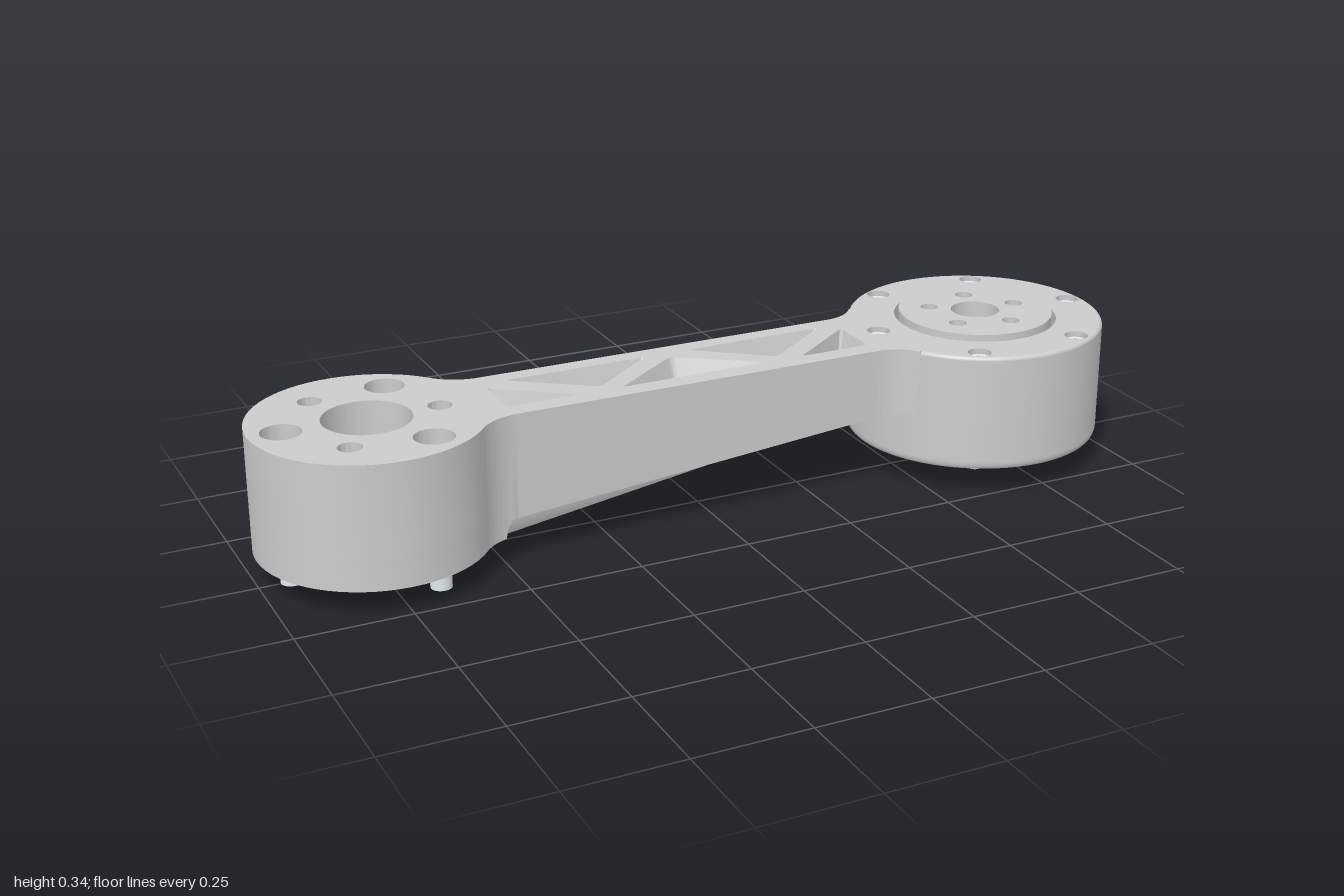
import * as THREE from 'three';
import { toCreasedNormals } from 'three/addons/utils/BufferGeometryUtils.js';

const body = new THREE.MeshStandardMaterial({ color: 0xcccccc });
const thin = new THREE.MeshStandardMaterial({ color: 0xcccccc, side: THREE.DoubleSide });
const steel = new THREE.MeshStandardMaterial({ color: 0xe2eaee });

const TOP = 0.333;
const LEFT = { x: -0.75, r: 0.25 };
const RIGHT = { x: 0.71, r: 0.29 };
const HALF = 0.115; // half width of the arm

function addMesh(parent, name, geometry, material = body) {
  const mesh = new THREE.Mesh(geometry, material);
  mesh.name = name;
  parent.add(mesh);
  return mesh;
}

// Upright extrusion of a plan shape (shape y = -z) between two heights
function slab(shape, y0, y1) {
  const geometry = new THREE.ExtrudeGeometry(shape, { depth: y1 - y0, bevelEnabled: false, curveSegments: 32 });
  return geometry.rotateX(-Math.PI / 2).translate(0, y0, 0);
}

const smooth = (geometry) => toCreasedNormals(geometry, 0.5);

// Disc with round holes, each given as [x, y, radius] from its centre
function disc(cx, r, holes, y0, y1) {
  const shape = new THREE.Shape().absarc(cx, 0, r, 0, Math.PI * 2);
  for (const [x, y, hr] of holes) {
    shape.holes.push(new THREE.Path().absarc(cx + x, y, hr, 0, Math.PI * 2, true));
  }
  return smooth(slab(shape, y0, y1));
}

// Circular pattern of n places
function ring(n, radius, start = 0) {
  return Array.from({ length: n }, (_, i) => {
    const a = start + (i * Math.PI * 2) / n;
    return [radius * Math.cos(a), radius * Math.sin(a)];
  });
}

// Height of the underside of the arm, with a fillet next to the left hub
function underside(x) {
  if (x > -0.47) return 0.1 + (x + 0.47) * 0.087;
  const t = Math.max(0, (x + 0.5) / 0.03);
  return 0.06 + 0.04 * Math.sqrt(1 - (1 - t) ** 2);
}

// Triangle with rounded corners
function roundedTriangle(corners, r = 0.014) {
  const p = corners.map(([x, z]) => new THREE.Vector2(x, -z));
  return p.flatMap((c, i) => {
    const toward = (q) => c.clone().add(q.clone().sub(c).setLength(r));
    return new THREE.QuadraticBezierCurve(toward(p[(i + 2) % 3]), c, toward(p[(i + 1) % 3])).getPoints(4);
  });
}

// Tapered pocket: rim loop, smaller floor loop, centre point
function pocket(loop, rimY, floorY) {
  const n = loop.length;
  const mid = loop.reduce((s, p) => s.add(p), new THREE.Vector2()).divideScalar(n);
  const pos = [], index = [];
  for (const p of loop) pos.push(p.x, rimY(p.x), -p.y);
  for (const p of loop) {
    const q = mid.clone().lerp(p, 0.55);
    pos.push(q.x, floorY, -q.y);
  }
  pos.push(mid.x, floorY, -mid.y);
  for (let i = 0; i < n; i++) {
    const j = (i + 1) % n;
    index.push(i, j, n + j, i, n + j, n + i, n + i, n + j, 2 * n);
  }
  const geometry = new THREE.BufferGeometry();
  geometry.setAttribute('position', new THREE.Float32BufferAttribute(pos, 3));
  geometry.setIndex(index);
  return smooth(geometry);
}

function buildArm() {
  const arm = new THREE.Group();
  arm.name = 'arm';

  // Outline flaring into both hubs
  const PI = Math.PI, fl = 0.12, fr = 0.1;
  const zl = HALF + fl, zr = HALF + fr;
  const dl = Math.sqrt((LEFT.r + fl) ** 2 - zl ** 2), dr = Math.sqrt((RIGHT.r + fr) ** 2 - zr ** 2);
  const a = Math.atan2(zl, dl), b = Math.atan2(zr, dr);
  const shape = new THREE.Shape();
  shape.absarc(LEFT.x, 0, LEFT.r - 0.004, -a, a);
  shape.absarc(LEFT.x + dl, zl, fl, PI + a, 1.5 * PI);
  shape.absarc(RIGHT.x - dr, zr, fr, 1.5 * PI, 2 * PI - b);
  shape.absarc(RIGHT.x, 0, RIGHT.r - 0.008, PI - b, PI + b);
  shape.absarc(RIGHT.x - dr, -zr, fr, b, PI / 2);
  shape.absarc(LEFT.x + dl, -zl, fl, PI / 2, PI - a);

  // Truss pockets, open above and below with a web between
  const triangles = [
    [[-0.47, -0.05], [-0.47, 0.07], [-0.31, 0.07]],
    [[-0.42, -0.075], [-0.09, -0.075], [-0.25, 0.047]],
    [[-0.21, 0.07], [0.13, 0.07], [-0.04, -0.053]],
    [[0.01, -0.075], [0.34, -0.075], [0.17, 0.047]],
    [[0.22, 0.07], [0.385, 0.07], [0.385, -0.05]],
  ];
  for (const t of triangles) {
    const loop = roundedTriangle(t);
    shape.holes.push(new THREE.Path().setFromPoints(loop));
    addMesh(arm, 'upperPocket', pocket(loop, () => TOP, 0.245), thin);
    addMesh(arm, 'lowerPocket', pocket(loop, underside, 0.225), thin);
  }

  // Slope the underside
  const geometry = slab(shape, 0, TOP);
  const pos = geometry.attributes.position;
  for (let i = 0; i < pos.count; i++) {
    if (pos.getY(i) < 0.01) pos.setY(i, underside(pos.getX(i)));
  }
  addMesh(arm, 'armBeam', smooth(geometry));
  return arm;
}

function buildMountHub() {
  const hub = new THREE.Group();
  hub.name = 'mountHub';
  const bolts = ring(3, 0.18, Math.PI);
  const through = [[0, 0, 0.095], ...ring(3, 0.158).map(([x, y]) => [x, y, 0.026])];
  addMesh(hub, 'hubBase', disc(LEFT.x, LEFT.r, through, 0.06, 0.13));
  addMesh(hub, 'hubUpper', disc(LEFT.x, LEFT.r, [...through, ...bolts.map(([x, y]) => [x, y, 0.043])], 0.13, TOP));

  // Socket bolts sunk in the counterbores
  const head = new THREE.Shape().absarc(0, 0, 0.038, 0, Math.PI * 2);
  head.holes.push(new THREE.Path().setFromPoints(ring(6, 0.024).map(([x, y]) => new THREE.Vector2(x, y))));
  for (const [x, y] of bolts) {
    const bolt = new THREE.Group();
    bolt.name = 'mountBolt';
    bolt.position.set(LEFT.x + x, 0, -y);
    addMesh(bolt, 'boltHead', smooth(slab(head, 0.13, 0.18)), steel);
    addMesh(bolt, 'boltShank', new THREE.CylinderGeometry(0.023, 0.023, 0.14, 32).translate(0, 0.07, 0), steel);
    hub.add(bolt);
  }
  return hub;
}

function buildDriveHub() {
  const hub = new THREE.Group();
  hub.name = 'driveHub';
  const core = RIGHT.r - 0.008, bore = [0, 0, 0.185];
  const screws = ring(6, 0.255);
  addMesh(hub, 'housingBase', disc(RIGHT.x, core, [bore], 0.067, 0.29));
  addMesh(hub, 'housingTop', disc(RIGHT.x, core, [bore, ...screws.map(([x, y]) => [x, y, 0.026])], 0.29, TOP));

  // Outer wall with rounded rims
  const profile = [];
  for (let i = 0; i <= 5; i++) {
    const t = (i / 5) * Math.PI / 2;
    profile.push(new THREE.Vector2(core + 0.008 * Math.sin(t), 0.085 - 0.018 * Math.cos(t)));
  }
  for (let i = 0; i <= 5; i++) {
    const t = (i / 5) * Math.PI / 2;
    profile.push(new THREE.Vector2(core + 0.008 * Math.cos(t), TOP - 0.009 + 0.009 * Math.sin(t)));
  }
  addMesh(hub, 'housingWall', new THREE.LatheGeometry(profile, 72).translate(RIGHT.x, 0, 0), thin);

  // Output flange in the bore, with a narrow gap around it
  const holes = [[0, 0, 0.055], ...ring(5, 0.105).map(([x, y]) => [x, y, 0.02])];
  addMesh(hub, 'flangeBase', disc(RIGHT.x, 0.186, holes, 0.105, 0.29));
  addMesh(hub, 'outputFlange', disc(RIGHT.x, 0.175, holes, 0.29, 0.345));

  // Housing screws, their tips showing below
  const head = new THREE.Shape().absarc(0, 0, 0.021, 0, Math.PI * 2);
  head.holes.push(new THREE.Path().setFromPoints(ring(6, 0.012).map(([x, y]) => new THREE.Vector2(x, y))));
  for (const [x, y] of screws) {
    const screw = new THREE.Group();
    screw.name = 'housingScrew';
    screw.position.set(RIGHT.x + x, 0, -y);
    addMesh(screw, 'screwHead', smooth(slab(head, 0.29, 0.322)), steel);
    addMesh(screw, 'screwTip', new THREE.CylinderGeometry(0.015, 0.015, 0.03, 24).translate(0, 0.075, 0), steel);
    hub.add(screw);
  }
  return hub;
}

export function createModel() {
  const model = new THREE.Group();
  model.name = 'linkArm';
  model.add(buildMountHub(), buildArm(), buildDriveHub());
  return model;
}
